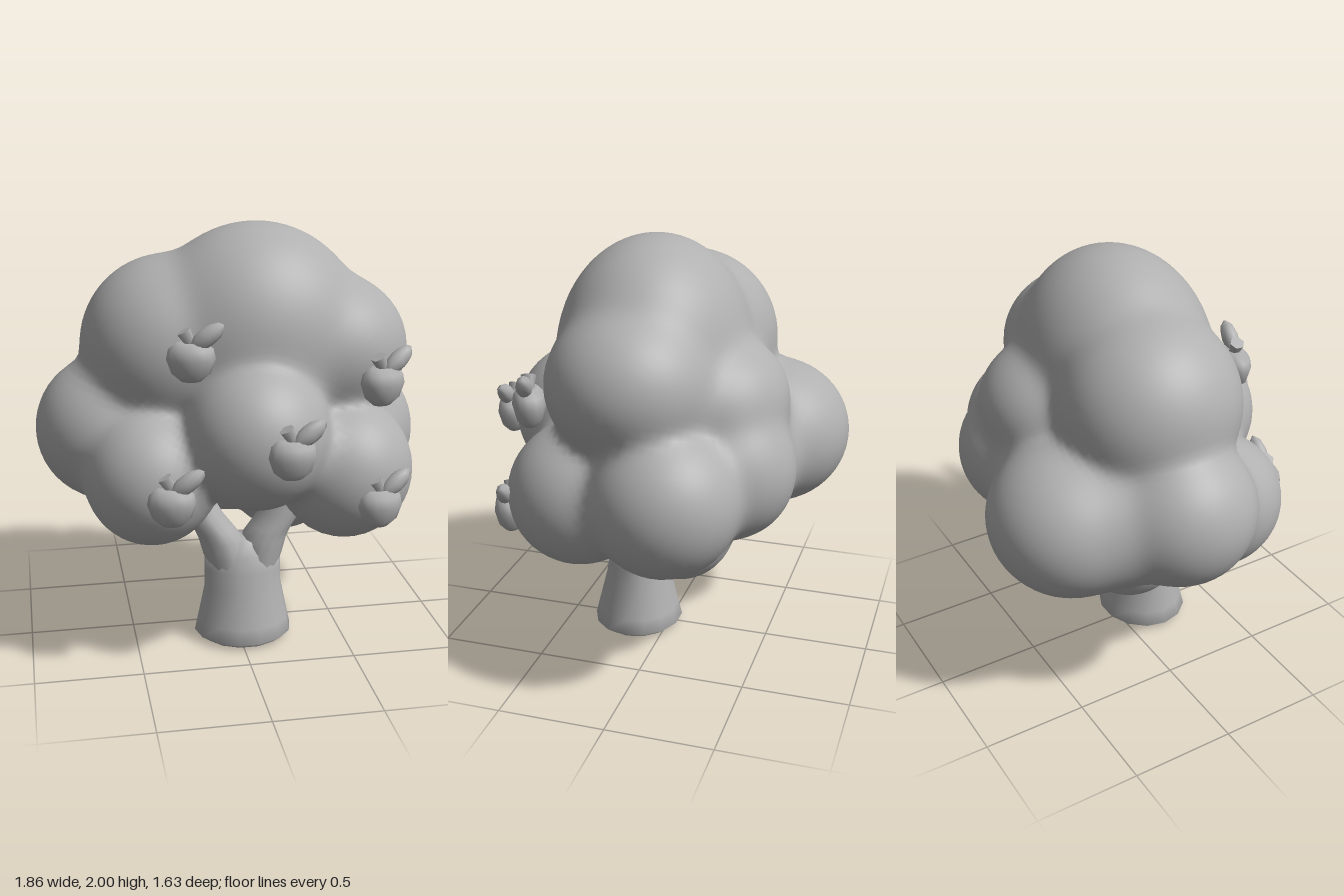
import * as THREE from 'three';
import { mergeVertices } from 'three/addons/utils/BufferGeometryUtils.js';

const grey = new THREE.MeshStandardMaterial({ color: 0xb0b0b0 });
grey.name = 'plain grey';

// Foliage lobes: x, y, z, radius x, y, z
const lobes = [
  [0.1, 1.47, 0.04, 0.52, 0.53, 0.44],    // crown
  [-0.3, 1.43, -0.02, 0.41, 0.42, 0.42],  // upper right
  [0.46, 1.41, 0.05, 0.36, 0.34, 0.37],   // upper left
  [-0.6, 1.04, -0.03, 0.33, 0.34, 0.34],  // middle right
  [0.6, 0.94, -0.15, 0.33, 0.34, 0.34],   // middle left
  [0.04, 1.1, 0.4, 0.33, 0.34, 0.34],     // front
  [-0.42, 0.89, 0.27, 0.31, 0.32, 0.32],  // lower front right
  [0.48, 0.88, 0.28, 0.32, 0.33, 0.33],   // lower front left
  [-0.31, 0.98, -0.44, 0.39, 0.35, 0.37], // back right
  [-0.47, 1.0, -0.27, 0.29, 0.3, 0.28],   // back right filler
  [0.3, 1.0, -0.37, 0.3, 0.32, 0.3],      // back left
  [0.05, 0.97, -0.36, 0.28, 0.32, 0.27],  // back middle
  [0.16, 1.28, -0.27, 0.37, 0.3, 0.33],   // upper back
  [-0.3, 0.71, -0.12, 0.25, 0.25, 0.25],  // underside right
  [0.28, 0.69, -0.14, 0.26, 0.26, 0.25],  // underside left
  [0, 0.8, -0.1, 0.25, 0.23, 0.25],       // underside middle
];

// Smoothly blended distance to all lobes
function foliageDistance(p) {
  const k = 0.026;
  let sum = 0;
  for (const [x, y, z, a, b, c] of lobes) {
    const q = Math.hypot((p.x - x) / a, (p.y - y) / b, (p.z - z) / c);
    sum += Math.exp(-((q - 1) * Math.min(a, b, c)) / k);
  }
  return -k * Math.log(sum);
}

// Shrink a sphere inward onto the blended lobes
function foliageGeometry() {
  let g = new THREE.IcosahedronGeometry(1, 24);
  g.deleteAttribute('uv');
  g.deleteAttribute('normal');
  g = mergeVertices(g, 1e-4);
  const pos = g.attributes.position;
  const centre = new THREE.Vector3(0, 1.05, 0);
  const dir = new THREE.Vector3(), p = new THREE.Vector3();
  for (let i = 0; i < pos.count; i++) {
    dir.fromBufferAttribute(pos, i).normalize();
    let t = 1.4;
    for (let n = 0; n < 100; n++) {
      p.copy(centre).addScaledVector(dir, t);
      const d = foliageDistance(p);
      if (d < 0.0005 || t < 0.1) break;
      t -= d * 0.8;
    }
    pos.setXYZ(i, p.x, p.y, p.z);
  }
  g.computeVertexNormals();
  return g;
}

// Closed loft through level elliptical rings [x, y, z, rx, rz]
function loft(rings, sides = 14) {
  const points = [], index = [];
  for (const [x, y, z, rx, rz] of rings) {
    for (let i = 0; i < sides; i++) {
      const a = (i / sides) * Math.PI * 2;
      points.push(x + Math.cos(a) * rx, y, z + Math.sin(a) * rz);
    }
  }
  for (let r = 0; r < rings.length - 1; r++) {
    for (let i = 0; i < sides; i++) {
      const a = r * sides + i, b = r * sides + ((i + 1) % sides);
      index.push(a, a + sides, b, b, a + sides, b + sides);
    }
  }
  const g = new THREE.BufferGeometry();
  g.setAttribute('position', new THREE.Float32BufferAttribute(points, 3));
  g.setIndex(index);
  g.computeVertexNormals();
  return g;
}

function add(parent, name, geometry, position = [0, 0, 0]) {
  const mesh = new THREE.Mesh(geometry, grey);
  mesh.name = name;
  mesh.position.set(...position);
  parent.add(mesh);
  return mesh;
}

// Apple with a short stem and one chunky leaf
function makeFruit(x, y, z, turn) {
  const fruit = new THREE.Group();
  fruit.name = 'fruit';
  const profile = [[0, -0.1], [0.045, -0.098], [0.085, -0.065], [0.108, 0],
    [0.098, 0.045], [0.06, 0.075], [0, 0.068]].map(([r, h]) => new THREE.Vector2(r, h));
  add(fruit, 'fruitBody', new THREE.LatheGeometry(profile, 12)).scale.z = 0.7;
  const stem = add(fruit, 'stem', new THREE.CylinderGeometry(0.034, 0.022, 0.075, 6), [-0.012, 0.09, 0]);
  stem.rotation.z = 0.5;
  const leaf = add(fruit, 'leaf', new THREE.SphereGeometry(1, 8, 6), [0.07, 0.1, 0.015]);
  leaf.scale.set(0.09, 0.042, 0.038);
  leaf.rotation.z = 0.65;
  fruit.position.set(x, y, z);
  fruit.rotation.y = turn;
  return fruit;
}

export function createModel() {
  const tree = new THREE.Group();
  tree.name = 'tree';

  // Flared trunk with a rounded foot
  add(tree, 'trunk', loft([
    [0.025, 0, 0.155, 0, 0], [0.025, 0.003, 0.155, 0.2, 0.185], [0.025, 0.03, 0.155, 0.237, 0.217],
    [0.025, 0.1, 0.155, 0.222, 0.2], [0.025, 0.27, 0.155, 0.187, 0.157],
    [0.025, 0.36, 0.153, 0.187, 0.145], [0.025, 0.44, 0.15, 0.185, 0.125],
    [0.025, 0.5, 0.15, 0.08, 0.09], [0.025, 0.51, 0.15, 0, 0],
  ]));

  // Two forked branches running up into the foliage
  for (const s of [-1, 1]) {
    add(tree, s < 0 ? 'rightBranch' : 'leftBranch', loft([
      [0.025 + s * 0.06, 0.3, 0.155, 0.08, 0.11], [0.025 + s * 0.085, 0.43, 0.15, 0.107, 0.125],
      [0.025 + s * 0.108, 0.51, 0.147, 0.106, 0.12], [0.025 + s * 0.138, 0.56, 0.145, 0.098, 0.118],
      [0.025 + s * 0.19, 0.63, 0.14, 0.096, 0.113], [0.025 + s * 0.26, 0.76, 0.14, 0.093, 0.1],
      [0.025 + s * 0.34, 0.9, 0.13, 0.08, 0.09],
    ]));
  }

  add(tree, 'foliage', foliageGeometry());

  // Fruit: x, y, z, turn
  for (const f of [
    [-0.26, 1.48, 0.46, -0.15], [0.6, 1.33, 0.46, 0.35], [0.13, 1.11, 0.745, 0.1],
    [-0.37, 0.87, 0.595, -0.1], [0.57, 0.8, 0.585, 0.25],
  ]) tree.add(makeFruit(...f));

  return tree;
}
